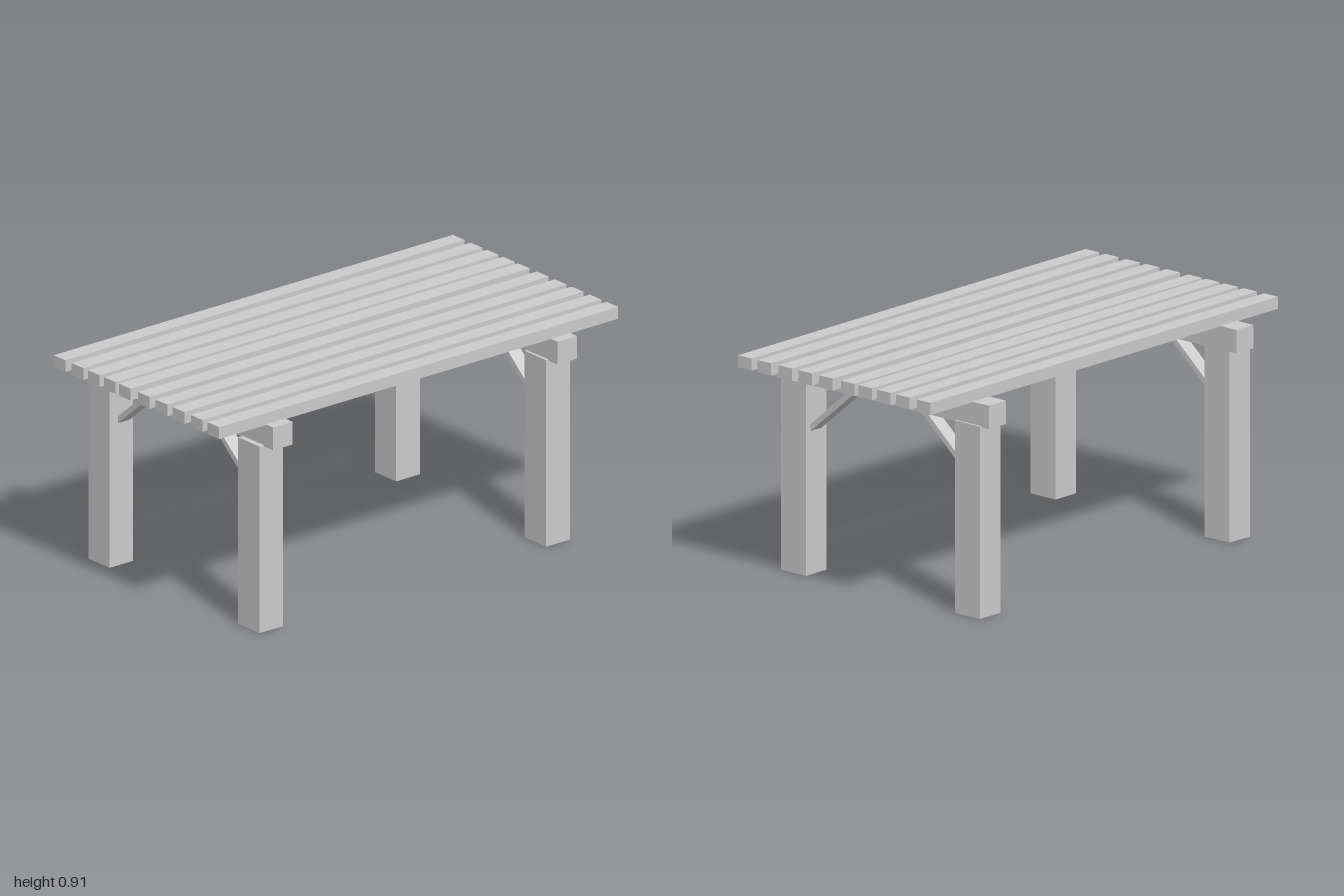
import * as THREE from 'three';

const wood = new THREE.MeshStandardMaterial({ color: 0xcccccc, flatShading: true });

// Box given by its extents along each axis
function timber(name, [x0, x1], [y0, y1], [z0, z1]) {
  const mesh = new THREE.Mesh(new THREE.BoxGeometry(x1 - x0, y1 - y0, z1 - z0), wood);
  mesh.position.set((x0 + x1) / 2, (y0 + y1) / 2, (z0 + z1) / 2);
  mesh.name = name;
  return mesh;
}

// Diagonal strut cut flush against the post and the underside of the beam
function brace(name, postX, beamX, lowY, z) {
  const topY = 0.768, thick = 0.028;
  const run = Math.sign(postX - beamX) * 0.035;
  const shape = new THREE.Shape([
    new THREE.Vector2(postX, lowY),
    new THREE.Vector2(postX, lowY + thick),
    new THREE.Vector2(beamX + run, topY),
    new THREE.Vector2(beamX, topY),
  ]);
  const depth = 0.06;
  const geometry = new THREE.ExtrudeGeometry(shape, { depth, bevelEnabled: false });
  const mesh = new THREE.Mesh(geometry, wood);
  mesh.position.z = z - depth / 2;
  mesh.name = name;
  return mesh;
}

export function createModel() {
  const model = new THREE.Group();
  model.name = 'slattedTable';

  // Two trestles: a beam on two posts with diagonal braces
  const trestles = [
    { name: 'front', beamZ: [0.668, 0.765], postZ: [0.67, 0.788] },
    { name: 'back', beamZ: [-0.758, -0.66], postZ: [-0.767, -0.648] },
  ];
  for (const { name, beamZ, postZ } of trestles) {
    const trestle = new THREE.Group();
    trestle.name = name + 'Trestle';
    const braceZ = (beamZ[0] + beamZ[1]) / 2;
    trestle.add(
      timber('beam', [-0.564, 0.561], [0.766, 0.86], beamZ),
      timber('rightPost', [-0.525, -0.396], [0, 0.771], postZ),
      timber('leftPost', [0.377, 0.507], [0, 0.771], postZ),
      brace('rightBrace', -0.397, -0.184, 0.587, braceZ),
      brace('leftBrace', 0.378, 0.15, 0.574, braceZ),
    );
    model.add(trestle);
  }

  // Unevenly spaced slats of the top
  const slatCentres = [-0.443, -0.335, -0.237, -0.14, -0.05, 0.064, 0.171, 0.273, 0.382, 0.483];
  const slats = new THREE.Group();
  slats.name = 'slats';
  for (const x of slatCentres) {
    slats.add(timber('slat', [x - 0.035, x + 0.035], [0.858, 0.907], [-1, 1]));
  }
  model.add(slats);

  return model;
}
